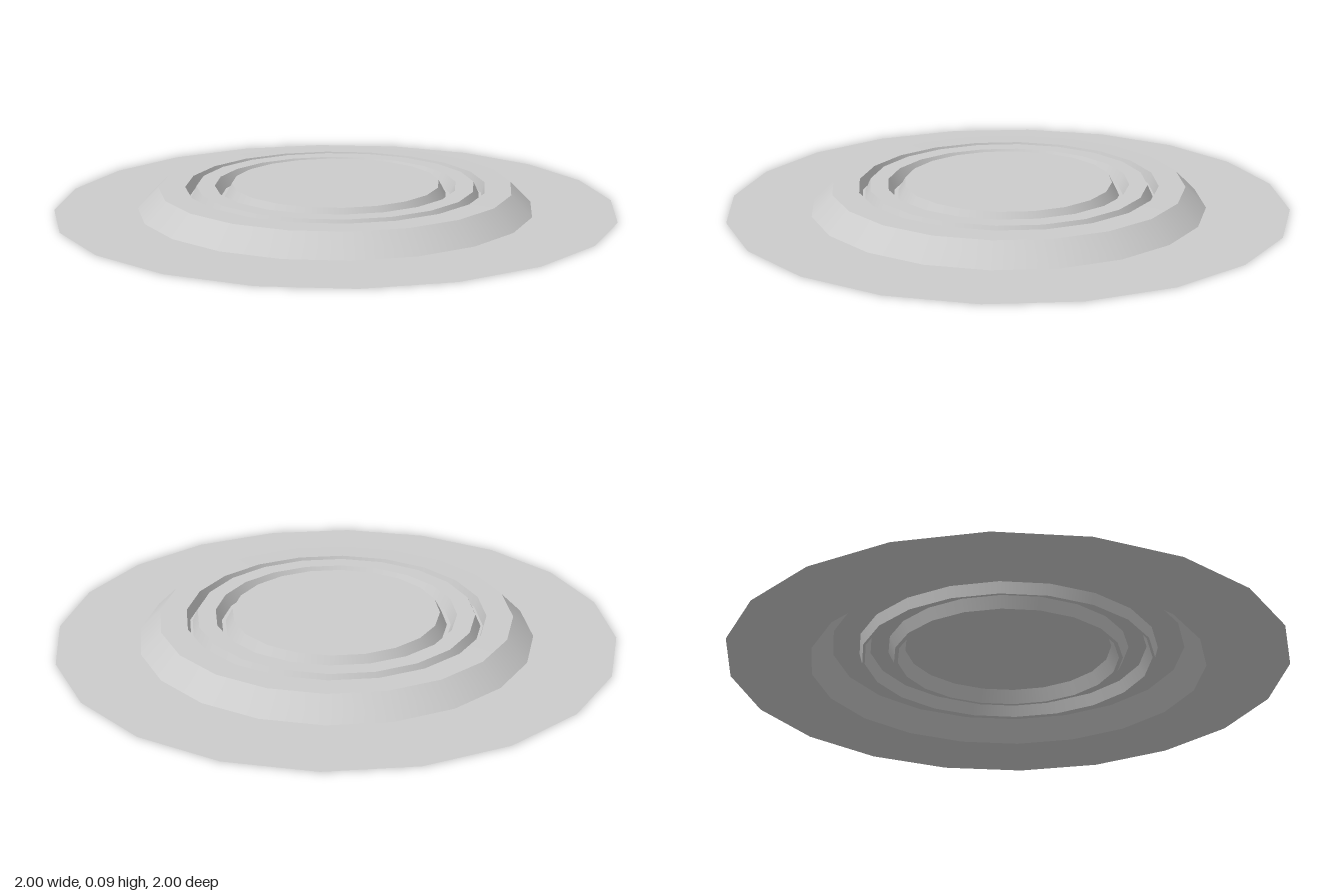
import * as THREE from 'three';

const SIDES = 20;
const START = THREE.MathUtils.degToRad(-5.6);

export function createModel() {
  const group = new THREE.Group();
  group.name = 'steppedDisc';
  const material = new THREE.MeshStandardMaterial({ color: 0xcccccc, side: THREE.DoubleSide });

  // Each band runs from the previous profile point to this one: [name, radius, height]
  const rim = [1.004, 0];
  const bands = [
    ['flange', 0.708, 0],
    ['outerSlope', 0.633, 0.075],
    ['outerLedge', 0.538, 0.076],
    ['outerGrooveOuterWall', 0.527, 0.036],
    ['outerGrooveFloor', 0.518, 0.036],
    ['outerGrooveInnerWall', 0.498, 0.079],
    ['middleLedge', 0.433, 0.079],
    ['innerGrooveOuterWall', 0.412, 0.038],
    ['innerGrooveFloor', 0.398, 0.038],
    ['innerGrooveInnerWall', 0.372, 0.086],
    ['centrePlate', 0, 0.086],
  ];

  // Separate bands keep the ring edges sharp and the turn around the axis smooth
  let [r0, y0] = rim;
  for (const [name, r, y] of bands) {
    const profile = [new THREE.Vector2(r0, y0), new THREE.Vector2(r, y)];
    const mesh = new THREE.Mesh(new THREE.LatheGeometry(profile, SIDES, START), material);
    mesh.name = name;
    group.add(mesh);
    [r0, y0] = [r, y];
  }
  return group;
}
